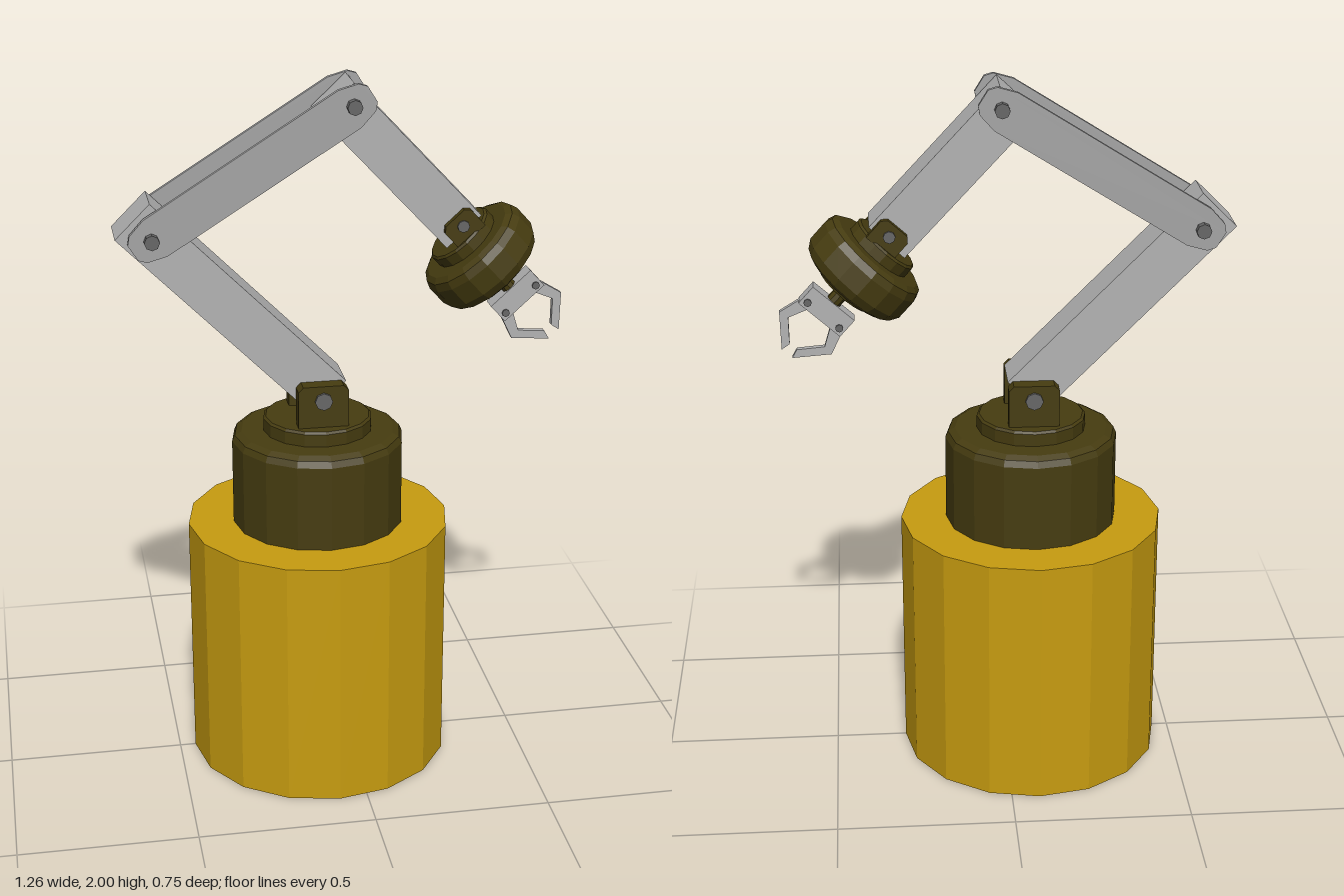
import * as THREE from 'three';

const mat = (name, color) => {
  const m = new THREE.MeshStandardMaterial({ color });
  m.name = name;
  return m;
};

// Faceted normals
const flat = (geo) => {
  const g = geo.index ? geo.toNonIndexed() : geo;
  g.computeVertexNormals();
  return g;
};

export function createModel() {
  const yellow = mat('yellow paint', 0xc79c10);
  const dark = mat('dark olive', 0x463c10);
  const steel = mat('light steel', 0xb2b2b2);
  const linkSteel = mat('link steel', 0xa4a4a4);
  const boltSteel = mat('bolt steel', 0x666666);

  const model = new THREE.Group();
  model.name = 'robotArm';

  const add = (parent, name, geo, material, x = 0, y = 0, z = 0) => {
    const mesh = new THREE.Mesh(geo, material);
    mesh.name = name;
    mesh.position.set(x, y, z);
    parent.add(mesh);
    return mesh;
  };

  // Turned part from [radius, height] pairs, listed from bottom to top
  const turned = (profile, sides = 16) =>
    flat(new THREE.LatheGeometry(profile.map(([r, y]) => new THREE.Vector2(r, y)), sides));

  // Flat plate cut from an outline, centred on z = 0
  const plate = (points, depth) => {
    const shape = new THREE.Shape(points.map(([x, y]) => new THREE.Vector2(x, y)));
    return new THREE.ExtrudeGeometry(shape, { depth, bevelEnabled: false }).translate(0, 0, -depth / 2);
  };

  // Hexagonal pin running through a joint along z
  const pin = (parent, name, x, y, r, length) => {
    const geo = flat(new THREE.CylinderGeometry(r, r, length, 8));
    return add(parent, name, geo.rotateX(Math.PI / 2), boltSteel, x, y);
  };

  // Square beam between two end centres
  const beam = (name, x0, y0, x1, y1, width, depth) => {
    const geo = new THREE.BoxGeometry(Math.hypot(x1 - x0, y1 - y0), width, depth);
    const m = add(model, name, geo, steel, (x0 + x1) / 2, (y0 + y1) / 2);
    m.rotation.z = Math.atan2(y1 - y0, x1 - x0);
  };

  // Pair of clevis cheeks with clipped top corners
  const cheeks = (parent, name, x, y0, y1, halfW, z, depth) => {
    const c = 0.014;
    const geo = plate([
      [-halfW, y0], [halfW, y0], [halfW, y1 - c], [halfW - c, y1], [c - halfW, y1], [-halfW, y1 - c],
    ], depth);
    for (const s of [-1, 1]) add(parent, name, geo, dark, x, 0, s * z);
  };

  // Base and turntable
  const bx = -0.08;
  add(model, 'base', flat(new THREE.CylinderGeometry(0.375, 0.375, 0.725, 16)), yellow, bx, 0.3625);
  add(model, 'turntable', turned([
    [0, 0.725], [0.245, 0.725], [0.245, 0.972], [0.237, 0.99], [0.218, 1.0], [0, 1.0],
  ]), dark, bx);
  add(model, 'turntableCap', turned([
    [0.155, 0.995], [0.155, 1.036], [0.148, 1.042], [0, 1.042],
  ]), dark, bx);

  // Shoulder joint
  cheeks(model, 'shoulderBracket', bx, 1.035, 1.163, 0.071, 0.09, 0.044);
  pin(model, 'shoulderPin', bx, 1.12, 0.025, 0.24);

  // Arm beams
  beam('lowerArm', -0.057, 1.113, -0.588, 1.648, 0.135, 0.136);
  beam('forearm', -0.035, 1.955, 0.32, 1.575, 0.13, 0.136);

  // Elbow links: a pair of plates with tapered ends, pinned at both ends
  const [ax, ay, cx, cy] = [-0.54, 1.6, 0.008, 1.942];
  const outline = [
    [0.382, -0.025], [0.382, 0.025], [0.365, 0.044], [0.31, 0.06],
    [-0.31, 0.06], [-0.365, 0.044], [-0.382, 0.025],
    [-0.382, -0.025], [-0.365, -0.044], [-0.31, -0.06], [0.31, -0.06], [0.365, -0.044],
  ];
  for (const s of [-1, 1]) {
    const link = add(model, 'elbowLink', plate(outline, 0.014), linkSteel, (ax + cx) / 2, (ay + cy) / 2, s * 0.084);
    link.rotation.z = Math.atan2(cy - ay, cx - ax);
  }
  pin(model, 'elbowPin', ax, ay, 0.021, 0.224);
  pin(model, 'upperPin', cx, cy, 0.021, 0.224);

  // Wrist: local y points back up the forearm
  const wrist = new THREE.Group();
  wrist.name = 'wrist';
  wrist.position.set(0.377, 1.49, 0);
  wrist.rotation.z = 0.736;
  model.add(wrist);
  add(wrist, 'wristDisc', turned([
    [0, -0.078], [0.125, -0.078], [0.15, -0.066], [0.165, -0.04], [0.165, 0.02],
    [0.157, 0.042], [0.14, 0.052], [0, 0.052],
  ]), dark);
  add(wrist, 'wristCap', turned([[0.1, 0.05], [0.1, 0.082], [0.094, 0.088], [0, 0.088]]), dark);
  add(wrist, 'wristCollar', turned([[0, -0.092], [0.09, -0.092], [0.1, -0.076]]), dark);
  add(wrist, 'wristRod', flat(new THREE.CylinderGeometry(0.022, 0.022, 0.08, 10)), dark, 0, -0.11);
  cheeks(wrist, 'wristBracket', 0.022, 0.08, 0.155, 0.048, 0.077, 0.018);
  pin(wrist, 'wristPin', 0.024, 0.122, 0.017, 0.184);

  // Gripper: palm block with two mirrored claws
  add(wrist, 'gripperPalm', new THREE.BoxGeometry(0.15, 0.062, 0.05), steel, 0, -0.167);
  const claw = [
    [0.036, -0.19], [0.066, -0.253], [0.013, -0.31], [0.019, -0.337], [0.095, -0.257], [0.072, -0.18],
  ];
  for (const s of [-1, 1]) {
    const pts = claw.map(([x, y]) => [s * x, y]);
    add(wrist, 'gripperClaw', plate(pts, 0.018), steel);
    pin(wrist, 'clawPin', s * 0.057, -0.18, 0.011, 0.06);
  }
  return model;
}
